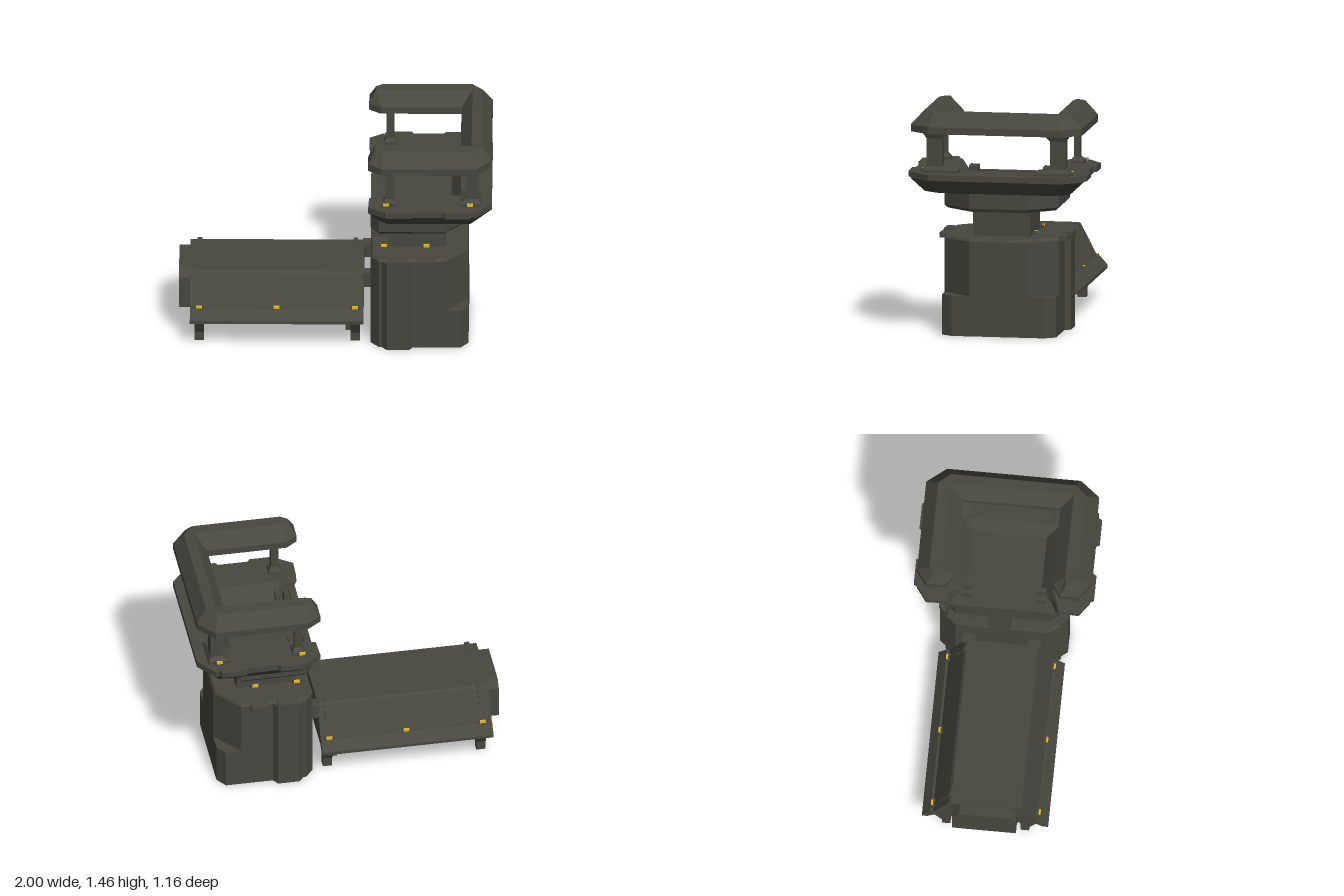
import * as THREE from 'three';

const hull = new THREE.MeshStandardMaterial({ color: 0x484840 });
hull.name = 'dark olive hull';
const amber = new THREE.MeshStandardMaterial({ color: 0xe6b81c });
amber.name = 'amber lamp';

export function createModel() {
  const root = new THREE.Group();
  root.name = 'watchtowerWithCorridor';
  let parent = root;

  const group = (name) => {
    parent = new THREE.Group();
    parent.name = name;
    root.add(parent);
  };
  const add = (name, geo, mat = hull) => {
    const m = new THREE.Mesh(geo, mat);
    m.name = name;
    parent.add(m);
  };
  const box = (name, x0, x1, y0, y1, z0, z1, mat) => {
    const g = new THREE.BoxGeometry(Math.abs(x1 - x0), Math.abs(y1 - y0), Math.abs(z1 - z0));
    g.translate((x0 + x1) / 2, (y0 + y1) / 2, (z0 + z1) / 2);
    add(name, g, mat);
  };
  // Mirror half of an [x, z] outline over the x axis
  const sym = (half) => [...half, ...half.slice().reverse().map(([x, z]) => [x, -z])];
  const rect = (x0, x1, z0, z1) => [[x0, z0], [x1, z0], [x1, z1], [x0, z1]];

  // Solid through matching outlines stacked in y: levels = [[y, outline], ...]
  const loft = (name, levels) => {
    const pos = [];
    const loops = levels.map(([y, o]) => {
      const pts = o.map(([x, z]) => new THREE.Vector2(x, z));
      if (THREE.ShapeUtils.area(pts) < 0) pts.reverse();
      return { y, pts };
    });
    const put = (l, i) => pos.push(l.pts[i].x, l.y, l.pts[i].y);
    const n = loops[0].pts.length;
    for (let k = 0; k + 1 < loops.length; k++) {
      const a = loops[k], b = loops[k + 1];
      for (let i = 0; i < n; i++) {
        const j = (i + 1) % n;
        put(a, i); put(b, j); put(a, j);
        put(a, i); put(b, i); put(b, j);
      }
    }
    const lo = loops[0], hi = loops[loops.length - 1];
    for (const [a, b, c] of THREE.ShapeUtils.triangulateShape(lo.pts, [])) { put(lo, a); put(lo, b); put(lo, c); }
    for (const [a, b, c] of THREE.ShapeUtils.triangulateShape(hi.pts, [])) { put(hi, a); put(hi, c); put(hi, b); }
    const g = new THREE.BufferGeometry();
    g.setAttribute('position', new THREE.Float32BufferAttribute(pos, 3));
    g.computeVertexNormals();
    add(name, g);
  };
  // [z, y] section extruded along x
  const prism = (name, section, x0, x1) => {
    const s = new THREE.Shape(section.map(([z, y]) => new THREE.Vector2(-z, y)));
    const g = new THREE.ExtrudeGeometry(s, { depth: x1 - x0, bevelEnabled: false });
    g.rotateY(Math.PI / 2).translate(x0, 0, 0);
    add(name, g);
  };
  // Lamp set between two cheeks, facing outwards (s is the side)
  const lamp = (x, y, z, s) => {
    box('lampMount', x - 0.028, x + 0.028, y - 0.025, y + 0.01, s * (z - 0.03), s * (z - 0.004));
    for (const d of [-1, 1]) box('lampCheek', x + d * 0.019, x + d * 0.028, y - 0.025, y + 0.01, s * (z - 0.005), s * (z + 0.01));
    box('lamp', x - 0.019, x + 0.019, y - 0.008, y + 0.009, s * (z - 0.005), s * (z + 0.009), amber);
  };

  // Corridor module, hollow below
  group('corridor');
  const both = (half) => [...half, ...half.slice().reverse().map(([z, y]) => [-z, y])];
  prism('corridorShell', both([[0.22, 0.47], [0.235, 0.455], [0.335, 0.262], [0.35, 0.262],
    [0.405, 0.2], [0.405, 0.18], [0.37, 0.18], [0.33, 0.215]]), -0.93, 0.18);
  prism('endConnector', both([[0.16, 0.46], [0.205, 0.41], [0.205, 0.2]]), -1, -0.93);
  for (const s of [1, -1]) {
    box('floorRail', -0.84, 0.08, 0.155, 0.22, s * 0.25, s * 0.3);
    box('tunnelJoint', 0.17, 0.24, 0.37, 0.465, s * 0.17, s * 0.25);
    for (const x of [-0.87, 0.125]) {
      prism('roofClamp', [[0.16, 0.476], [0.235, 0.476], [0.295, 0.365], [0.275, 0.355],
        [0.215, 0.46], [0.16, 0.46]].map(([z, y]) => [s * z, y]), x - 0.015, x + 0.015);
      prism('leg', [[0.22, 0.23], [0.35, 0.23], [0.34, 0.16], [0.28, 0.06], [0.28, 0], [0.225, 0], [0.225, 0.06]]
        .map(([z, y]) => [s * z, y]), x - 0.03, x + 0.03);
      const d = x < 0 ? 1 : -1;
      box('legBracket', x + d * 0.03, x + d * 0.06, x < 0 ? 0.12 : 0.075, 0.18, s * 0.25, s * 0.28);
    }
    for (const x of [-0.87, -0.375, 0.125]) lamp(x, 0.27, 0.343, s);
  }

  // Tower base with a hollow foot
  group('towerBase');
  const foot = new THREE.Shape(sym([[0.225, 0.3], [0.28, 0.37], [0.8, 0.37], [0.85, 0.3]])
    .map(([x, z]) => new THREE.Vector2(x, z)));
  foot.holes.push(new THREE.Path(rect(0.36, 0.72, -0.18, 0.18).map(([x, z]) => new THREE.Vector2(x, z))));
  const footGeo = new THREE.ExtrudeGeometry(foot, { depth: 0.26, bevelEnabled: false });
  add('foot', footGeo.rotateX(Math.PI / 2).translate(0, 0.26, 0));
  const octagon = sym([[0.225, 0.3], [0.28, 0.37], [0.7, 0.37], [0.85, 0.185]]);
  loft('baseBody', [[0.255, octagon], [0.612, octagon],
    [0.63, sym([[0.235, 0.29], [0.285, 0.355], [0.695, 0.355], [0.84, 0.18]])]]);
  for (const s of [1, -1]) {
    loft('pilaster', [0, 0.615].map((y) => [y,
      [[0.29, 0.36], [0.33, 0.41], [0.47, 0.41], [0.5, 0.36]].map(([x, z]) => [x, s * z])]));
    box('pilasterCap', 0.33, 0.47, 0.6, 0.632, s * 0.34, s * 0.418);
    box('sideTab', 0.53, 0.64, 0.6, 0.632, s * 0.34, s * 0.415);
    for (const x of [0.31, 0.58]) lamp(x, 0.643, 0.2, s);
  }

  // Neck and underside of the lookout
  group('neck');
  box('neckBlock', 0.33, 0.7, 0.62, 0.82, -0.185, 0.185);
  box('neckPost', 0.225, 0.34, 0.62, 0.82, -0.09, 0.05);
  loft('lookoutCore', [
    [0.805, sym([[0.235, 0.28], [0.285, 0.35], [0.69, 0.35], [0.84, 0.175]])],
    [0.825, octagon], [0.94, octagon]]);

  // Lookout platform with a sunken floor
  group('lookout');
  const outer = [[0.21, 0.49], [0.3, 0.555], [0.9, 0.555], [1, 0.43]];
  const low = [[0.253, 0.444], [0.32, 0.5], [0.874, 0.5], [0.954, 0.387]];
  loft('platform', [
    [0.935, sym([[0.275, 0.42], [0.33, 0.47], [0.86, 0.47], [0.93, 0.365]])],
    [0.965, sym(low)]]);
  loft('parapet', [
    [0.965, sym([[0.74, 0.235], [0.37, 0.235], [0.3, 0.31], [0.253, 0.33], ...low])],
    [1.022, sym([[0.775, 0.282], [0.35, 0.282], [0.29, 0.325], [0.215, 0.345], ...outer])],
    [1.062, sym([[0.8, 0.315], [0.33, 0.315], [0.28, 0.34], [0.215, 0.36], ...outer])]]);
  box('doorSill', 0.225, 0.27, 0.935, 0.985, -0.36, 0.36);
  for (const s of [1, -1]) {
    for (const x of [0.305, 0.36]) box('railHook', x - 0.014, x + 0.014, 0.96, 1.03, s * 0.21, s * 0.27);
    for (const x of [0.4, 0.78]) {
      loft('bumper', [1.025, 1.062].map((y) => [y,
        [[x - 0.1, 0.54], [x - 0.08, 0.578], [x + 0.08, 0.578], [x + 0.1, 0.54]]
          .map(([a, z]) => [a, s * z])]));
    }
    // Roof posts with splayed ends: slim at the opening, stout at the far corners
    const at = (a, b, z0, z1) => rect(a, b, z0, z1).map(([x, z]) => [x, s * z]);
    for (const [x0, x1, g0, g1, z0, zLow, zHigh] of [
      [0.32, 0.37, 0.305, 0.385, 0.41, 0.39, 0.39],
      [0.835, 0.915, 0.8, 0.93, 0.35, 0.25, 0.31]]) {
      loft('roofPost', [
        [1.05, at(g0, g1, zLow, 0.475)], [1.08, at(g0, g1, zLow, 0.475)],
        [1.105, at(x0, x1, z0, 0.45)], [1.285, at(x0, x1, z0, 0.45)],
        [1.325, at(g0, g1, zHigh, 0.475)], [1.34, at(g0, g1, zHigh, 0.475)]]);
    }
    for (const x of [0.325, 0.862]) lamp(x, 1.078, 0.482, s);
  }

  // U-shaped canopy ring, open towards the corridor
  const eave = sym([[0.8, 0.315], [0.285, 0.315], [0.21, 0.37], ...outer]);
  loft('canopy', [[1.325, eave], [1.37, eave],
    [1.457, sym([[0.87, 0.395], [0.3, 0.395], [0.255, 0.405], [0.255, 0.445], [0.3, 0.475], [0.87, 0.475], [0.935, 0.4]])]]);

  return root;
}
